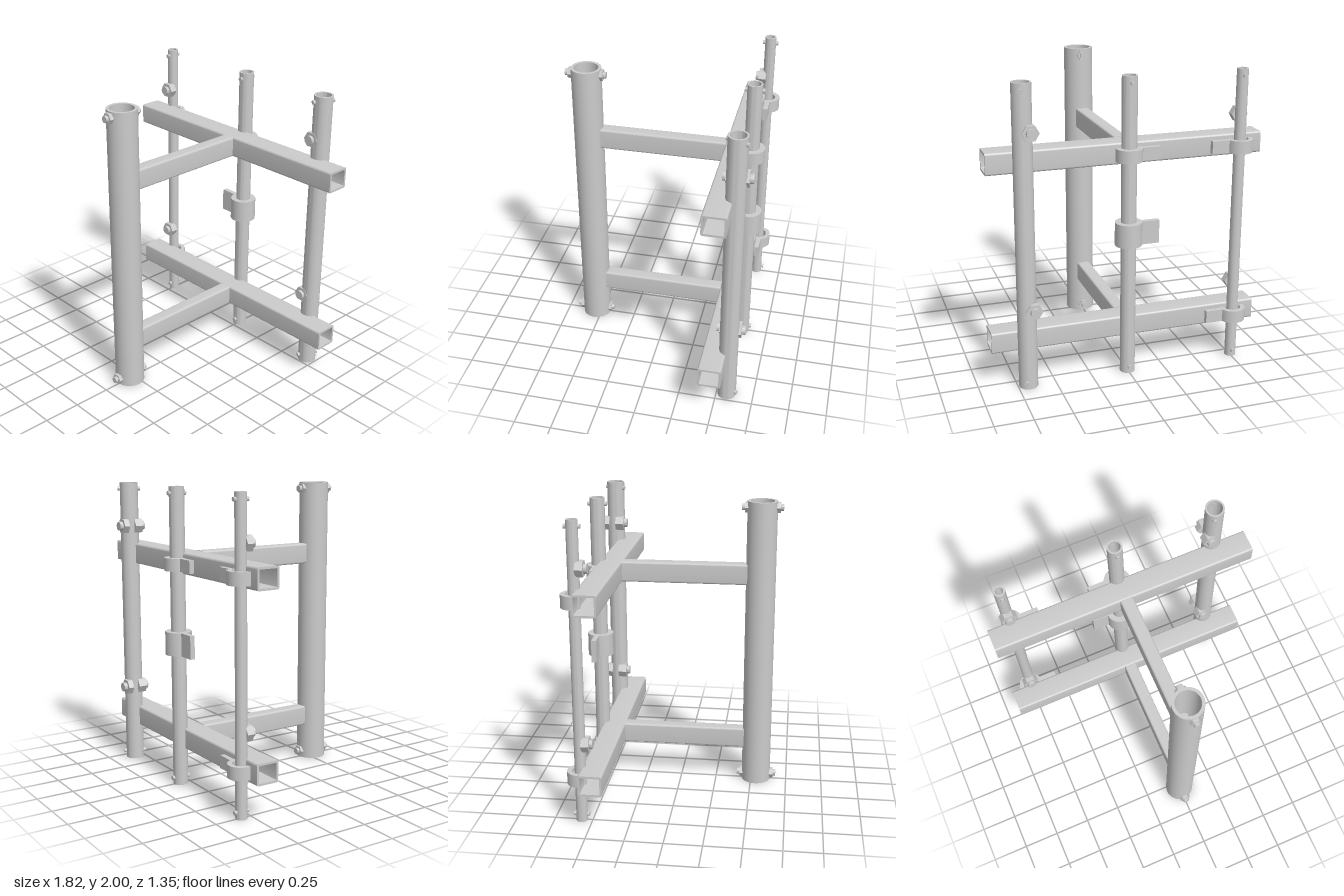
import * as THREE from 'three';
import { toCreasedNormals } from 'three/addons/utils/BufferGeometryUtils.js';

const material = new THREE.MeshStandardMaterial({ color: 0xcccccc });
const BACK_Z = -0.57; // axis of the rear rods
const BAR_Y = [0.32, 1.505];

function add(parent, name, geometry, x = 0, y = 0, z = 0) {
  const mesh = new THREE.Mesh(toCreasedNormals(geometry, 0.6), material);
  mesh.name = name;
  mesh.position.set(x, y, z);
  parent.add(mesh);
  return mesh;
}

// Open round pipe standing on y = 0
function pipe(outer, inner, height) {
  const profile = [[inner, 0], [outer, 0], [outer, height], [inner, height], [inner, 0]];
  return new THREE.LatheGeometry(profile.map(([r, y]) => new THREE.Vector2(r, y)), 40);
}

function roundedRect(path, w, h, r) {
  const x = w / 2, y = h / 2;
  path.moveTo(-x + r, -y);
  path.lineTo(x - r, -y);
  path.quadraticCurveTo(x, -y, x, -y + r);
  path.lineTo(x, y - r);
  path.quadraticCurveTo(x, y, x - r, y);
  path.lineTo(-x + r, y);
  path.quadraticCurveTo(-x, y, -x, y - r);
  path.lineTo(-x, -y + r);
  path.quadraticCurveTo(-x, -y, -x + r, -y);
  return path;
}

// Hollow rectangular section, centred, running along z
function boxTube(w, h, length, wall) {
  const shape = roundedRect(new THREE.Shape(), w, h, 0.014);
  shape.holes.push(roundedRect(new THREE.Path(), w - 2 * wall, h - 2 * wall, 0.005));
  return new THREE.ExtrudeGeometry(shape, { depth: length, bevelEnabled: false, curveSegments: 5 })
    .translate(0, 0, -length / 2);
}

// Hex nut with a round bolt end, pointing along +z (dir 1) or -z (dir -1)
function hexBolt(parent, name, x, y, z, dir, hexR, hexLength, endR, endLength) {
  const bolt = new THREE.Group();
  bolt.name = name;
  const hex = new THREE.CylinderGeometry(hexR, hexR, hexLength, 6).rotateY(Math.PI / 6).rotateX(Math.PI / 2);
  add(bolt, 'hexNut', hex, 0, 0, hexLength / 2);
  const end = new THREE.CylinderGeometry(endR, endR, endLength, 20).rotateX(Math.PI / 2);
  add(bolt, 'boltEnd', end, 0, 0, hexLength + endLength / 2);
  bolt.position.set(x, y, z);
  if (dir < 0) bolt.rotation.y = Math.PI;
  parent.add(bolt);
}

// Half-round strap open towards the bar, with a flat tab on one side
function strapGeometry(outer, inner, side, height) {
  const s = new THREE.Shape();
  s.moveTo(outer, -0.012);
  s.lineTo(outer, 0);
  s.absarc(0, 0, outer, 0, Math.PI, false);
  s.lineTo(-outer, -0.012);
  s.lineTo(-inner, -0.012);
  s.lineTo(-inner, 0);
  s.absarc(0, 0, inner, Math.PI, 0, true);
  s.lineTo(inner, -0.012);
  s.closePath();
  const geometry = new THREE.ExtrudeGeometry(s, { depth: height, bevelEnabled: false, curveSegments: 24 });
  return geometry.rotateX(-Math.PI / 2).translate(0, -height / 2, 0);
}

function clamp(parent, name, x, y, outer, inner, side, height, fullRing) {
  const group = new THREE.Group();
  group.name = name;
  group.position.set(x, y, BACK_Z);
  parent.add(group);
  if (fullRing) add(group, 'ring', pipe(outer, inner, height), 0, -height / 2, 0);
  else add(group, 'strap', strapGeometry(outer, inner, side, height));
  const start = outer - 0.015, end = 0.2;
  add(group, 'tab', new THREE.BoxGeometry(end - start, height, 0.033), side * (start + end) / 2, 0, -0.011);
}

export function createModel() {
  const model = new THREE.Group();
  model.name = 'pipeFrame';

  // Main front post with bolts at both ends
  add(model, 'mainPost', pipe(0.1, 0.08, 2), 0, 0, 0.535);
  for (const y of [0.045, 1.957]) {
    hexBolt(model, 'postFrontBolt', 0, y, 0.615, 1, 0.038, 0.04, 0.022, 0.02);
    hexBolt(model, 'postRearBolt', 0, y, 0.455, -1, 0.038, 0.035, 0.022, 0.02);
  }

  // Two T-shaped levels: a hollow cross bar and a strut to the post
  for (const y of BAR_Y) {
    add(model, 'crossBar', boxTube(0.155, 0.14, 1.82, 0.014).rotateY(Math.PI / 2), 0, y, -0.48);
    add(model, 'strut', boxTube(0.09, 0.14, 0.965, 0.012), 0, y, 0.0775);
  }

  // Rear rods of three sizes, each with a cross pin near both ends
  const rods = [
    { name: 'rightRod', x: -0.755, r: 0.0375, turn: 0 },
    { name: 'middleRod', x: 0, r: 0.05, turn: 0 },
    { name: 'leftRod', x: 0.68, r: 0.0625, turn: -0.4 },
  ];
  for (const { name, x, r, turn } of rods) {
    add(model, name, pipe(r, r - 0.012, 2), x, 0, BACK_Z);
    for (const y of [0.045, 1.957]) {
      for (const dir of [1, -1]) {
        const pin = new THREE.CylinderGeometry(0.014, 0.014, 0.03, 16).rotateX(Math.PI / 2);
        pin.translate(0, 0, dir * r).rotateY(turn);
        add(model, 'endPin', pin, x, y, BACK_Z);
      }
    }
  }

  // Set bolts on the outer rods
  for (const y of [0.545, 1.7]) {
    hexBolt(model, 'rightSetBolt', -0.755, y, -0.555, 1, 0.055, 0.05, 0.031, 0.022);
    hexBolt(model, 'leftFrontSetBolt', 0.645, y, -0.565, 1, 0.055, 0.06, 0.031, 0.022);
    hexBolt(model, 'leftRearSetBolt', 0.645, y, -0.61, -1, 0.055, 0.038, 0.031, 0.025);
  }

  // Clamps holding the rods, and the free ring on the middle rod
  for (const y of BAR_Y) clamp(model, 'rightRodClamp', -0.755, y - 0.005, 0.087, 0.056, 1, 0.085, false);
  clamp(model, 'middleRodClamp', 0, BAR_Y[1] - 0.005, 0.087, 0.05, -1, 0.085, false);
  clamp(model, 'middleRodRing', 0, 0.977, 0.088, 0.05, -1, 0.155, true);

  return model;
}
